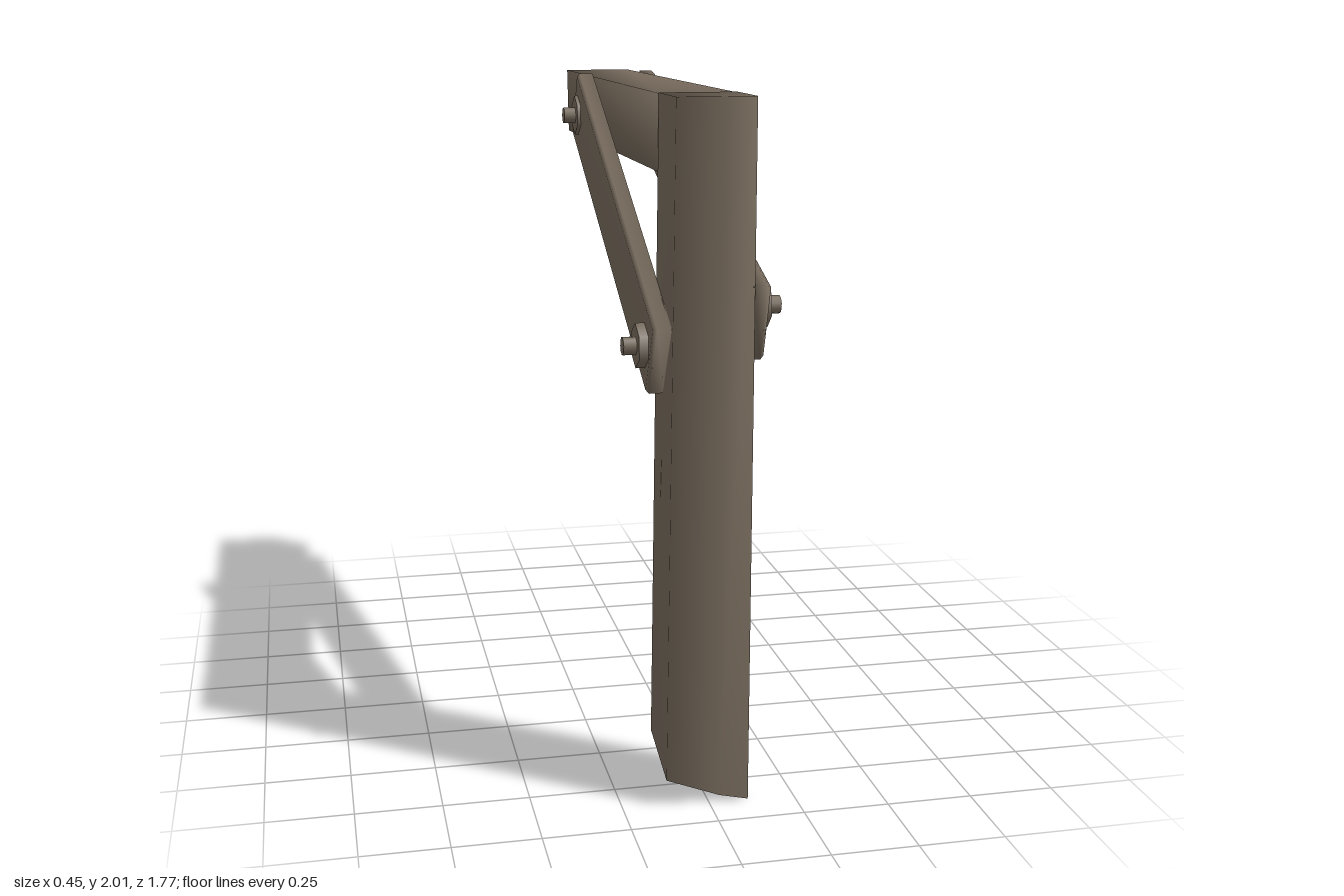
import * as THREE from 'three';

const wood = new THREE.MeshStandardMaterial({ color: 0x75695b });
wood.name = 'weatheredBrown';

// Closed solid through matching loops (counter-clockwise seen from the last loop), softly shaded
function loft(name, loops) {
  const n = loops[0].length, last = (loops.length - 1) * n, index = [];
  for (let r = 0; r < last; r += n) {
    for (let i = 0; i < n; i++) {
      const j = (i + 1) % n;
      index.push(r + i, r + j, r + n + j, r + i, r + n + j, r + n + i);
    }
  }
  for (let i = 1; i < n - 1; i++) {
    index.push(0, i + 1, i, last, last + i, last + i + 1);
  }
  const geometry = new THREE.BufferGeometry();
  geometry.setAttribute('position', new THREE.Float32BufferAttribute(loops.flat(2), 3));
  geometry.setIndex(index);
  geometry.computeVertexNormals();
  const mesh = new THREE.Mesh(geometry, wood);
  mesh.name = name;
  return mesh;
}

// Hex nut with a round bolt end, pointing outwards on one side
function bolt(side, y, z, tilt, tip) {
  const group = new THREE.Group();
  group.name = 'bolt';
  const add = (name, radius, from, to, sides) => {
    const mesh = new THREE.Mesh(new THREE.CylinderGeometry(radius, radius, to - from, sides), wood);
    mesh.name = name;
    mesh.position.y = (from + to) / 2;
    group.add(mesh);
  };
  add('nut', 0.063, 0.14, tip - 0.037, 6);
  add('boltEnd', 0.026, 0.15, tip, 10);
  group.rotation.set(tilt, 0, -side * Math.PI / 2);
  group.position.set(0, y, z);
  return group;
}

// Diagonal plank between two bolts, with its outer edges slightly chamfered
function brace(side, low, high, overhang, halfWidth, tips) {
  const group = new THREE.Group();
  group.name = side > 0 ? 'leftBrace' : 'rightBrace';
  const dz = high[0] - low[0], dy = high[1] - low[1];
  const length = Math.hypot(dz, dy), uz = dz / length, uy = dy / length;
  const ring = (x, inset) => {
    const a = -overhang + inset, b = length + overhang - inset, w = halfWidth - inset;
    const loop = [[a, -w], [b, -w], [b, w], [a, w]].map(([u, v]) =>
      [side * x, low[1] + u * uy - v * uz, low[0] + u * uz + v * uy]);
    return side > 0 ? loop : loop.reverse();
  };
  group.add(loft('plank', [ring(0.11, 0), ring(0.152, 0), ring(0.162, 0.008)]));
  const tilt = Math.atan2(uy, -uz);
  [low, high].forEach(([z, y], i) => group.add(bolt(side, y, z, tilt, tips[i])));
  return group;
}

export function createModel() {
  const model = new THREE.Group();
  model.name = 'timberBracket';

  // Upright post with a roughly cut foot
  model.add(loft('post', [
    [[0.115, 0, 0.885], [0.115, 0.1, 0.67], [-0.125, 0.14, 0.67], [-0.125, 0.08, 0.885], [0.03, 0.02, 0.885]],
    [[0.115, 2, 0.885], [0.115, 2, 0.67], [-0.105, 2, 0.67], [-0.105, 2, 0.885], [0.03, 2, 0.885]],
  ]));

  // Horizontal beam with a slanted back end
  const section = (zBottom, zTop) => [
    [0.115, 1.785, zBottom], [-0.105, 1.785, zBottom], [-0.105, 1.998, zTop], [0.115, 1.998, zTop],
  ];
  model.add(loft('beam', [section(0.68, 0.68), section(-0.86, -0.885)]));

  // Long and short diagonal braces, each as [z, y] bolt positions
  model.add(brace(1, [0.75, 1.42], [-0.575, 1.862], 0.105, 0.114, [0.222, 0.222]));
  model.add(brace(-1, [0.755, 1.32], [-0.32, 1.875], 0.075, 0.112, [0.225, 0.21]));
  return model;
}
